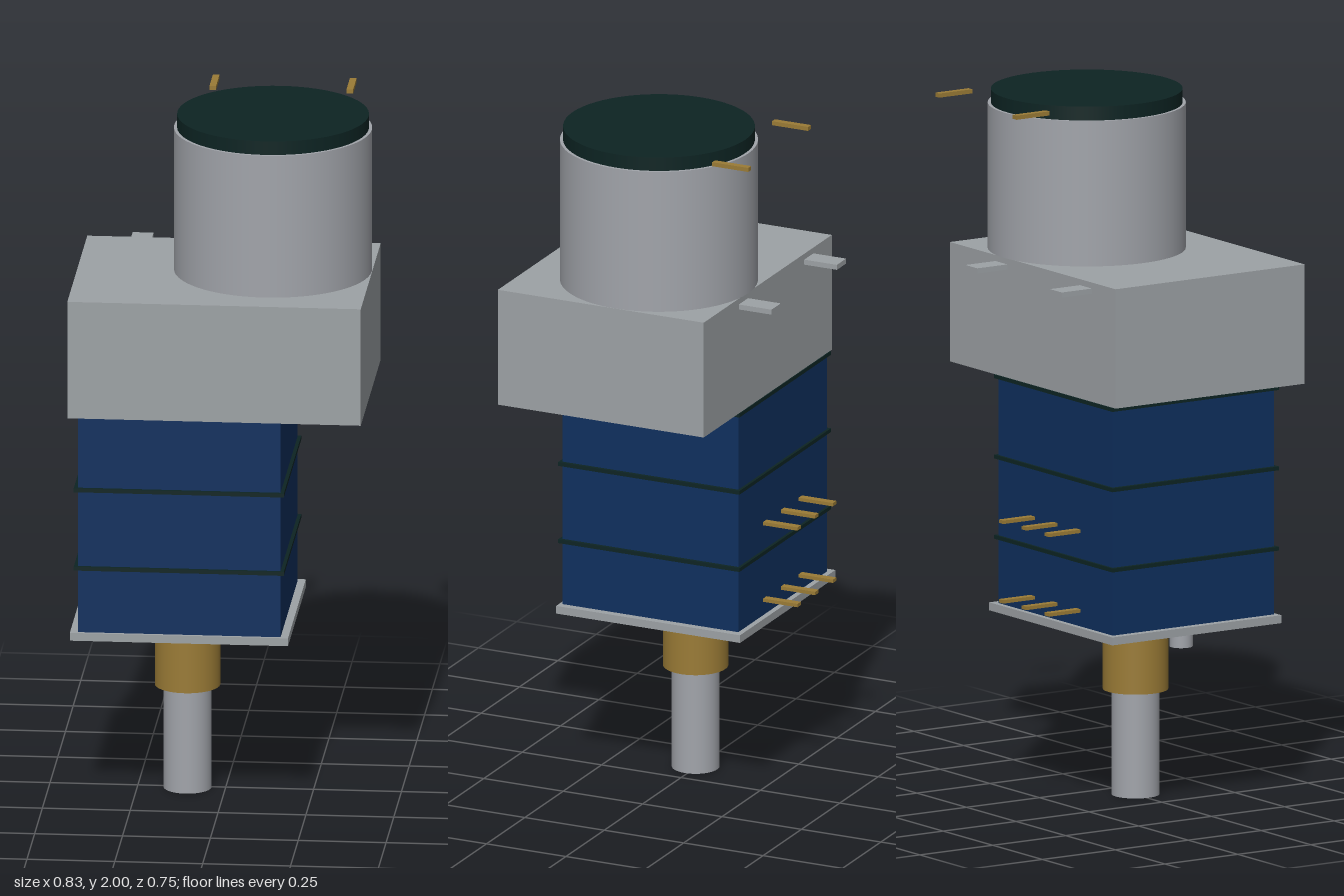
import * as THREE from 'three';

export function createModel() {
  const model = new THREE.Group();
  model.name = 'motorizedPotentiometer';

  const material = (name, color) => {
    const m = new THREE.MeshStandardMaterial({ color });
    m.name = name;
    return m;
  };
  const steel = material('steel', 0xa1a4aa);
  const casing = material('casingGrey', 0x9da2a5);
  const blue = material('bodyBlue', 0x0e2f5e);
  const dark = material('darkGreen', 0x0d2423);
  const brass = material('brass', 0x9a7b36);

  // Box given by its extents along each axis
  function box(name, mat, [x0, x1], [y0, y1], [z0, z1]) {
    const mesh = new THREE.Mesh(new THREE.BoxGeometry(x1 - x0, y1 - y0, z1 - z0), mat);
    mesh.position.set((x0 + x1) / 2, (y0 + y1) / 2, (z0 + z1) / 2);
    mesh.name = name;
    model.add(mesh);
  }

  // Upright cylinder given by its axis, radius and height range
  function rod(name, mat, x, z, radius, y0, y1) {
    const mesh = new THREE.Mesh(new THREE.CylinderGeometry(radius, radius, y1 - y0, 64), mat);
    mesh.position.set(x, (y0 + y1) / 2, z);
    mesh.name = name;
    model.add(mesh);
  }

  // Flat contact pointing out of the back
  function contact(name, mat, x, y, width, thick, zStart) {
    box(name, mat, [x - width / 2, x + width / 2], [y - thick / 2, y + thick / 2], [-0.376, zStart]);
  }

  // Shaft, bushing, mounting plate and locating peg
  rod('shaft', steel, -0.108, 0.006, 0.068, 0, 0.515);
  rod('bushing', brass, -0.108, 0.006, 0.093, 0.305, 0.465);
  rod('locatingPeg', steel, -0.338, 0.006, 0.033, 0.465, 0.515);
  box('mountingPlate', casing, [-0.418, 0.203], [0.512, 0.535], [-0.284, 0.295]);

  // Stacked blue sections with thin dark separators
  [[0.535, 0.72], [0.73, 0.952], [0.962, 1.184]].forEach(([y0, y1]) => {
    box('bodySection', blue, [-0.396, 0.181], [y0, y1], [-0.268, 0.285]);
    box('separator', dark, [-0.407, 0.191], [y1, y1 + 0.011], [-0.276, 0.295]);
  });

  // Gearbox and motor
  box('gearbox', casing, [-0.418, 0.417], [1.195, 1.54], [-0.273, 0.375]);
  rod('motorCan', steel, 0.135, 0.004, 0.281, 1.54, 1.96);
  rod('motorCap', dark, 0.135, 0.004, 0.272, 1.96, 2);

  // Rear contacts
  for (const y of [0.58, 0.81])
    for (const x of [-0.223, -0.107, 0.008]) contact('bodyTerminal', brass, x, y, 0.022, 0.01, -0.26);
  for (const x of [-0.268, 0.158]) contact('gearboxTab', casing, x, 1.515, 0.06, 0.015, -0.265);
  for (const x of [-0.06, 0.33]) contact('motorTerminal', brass, x, 1.99, 0.019, 0.012, -0.262);

  return model;
}
